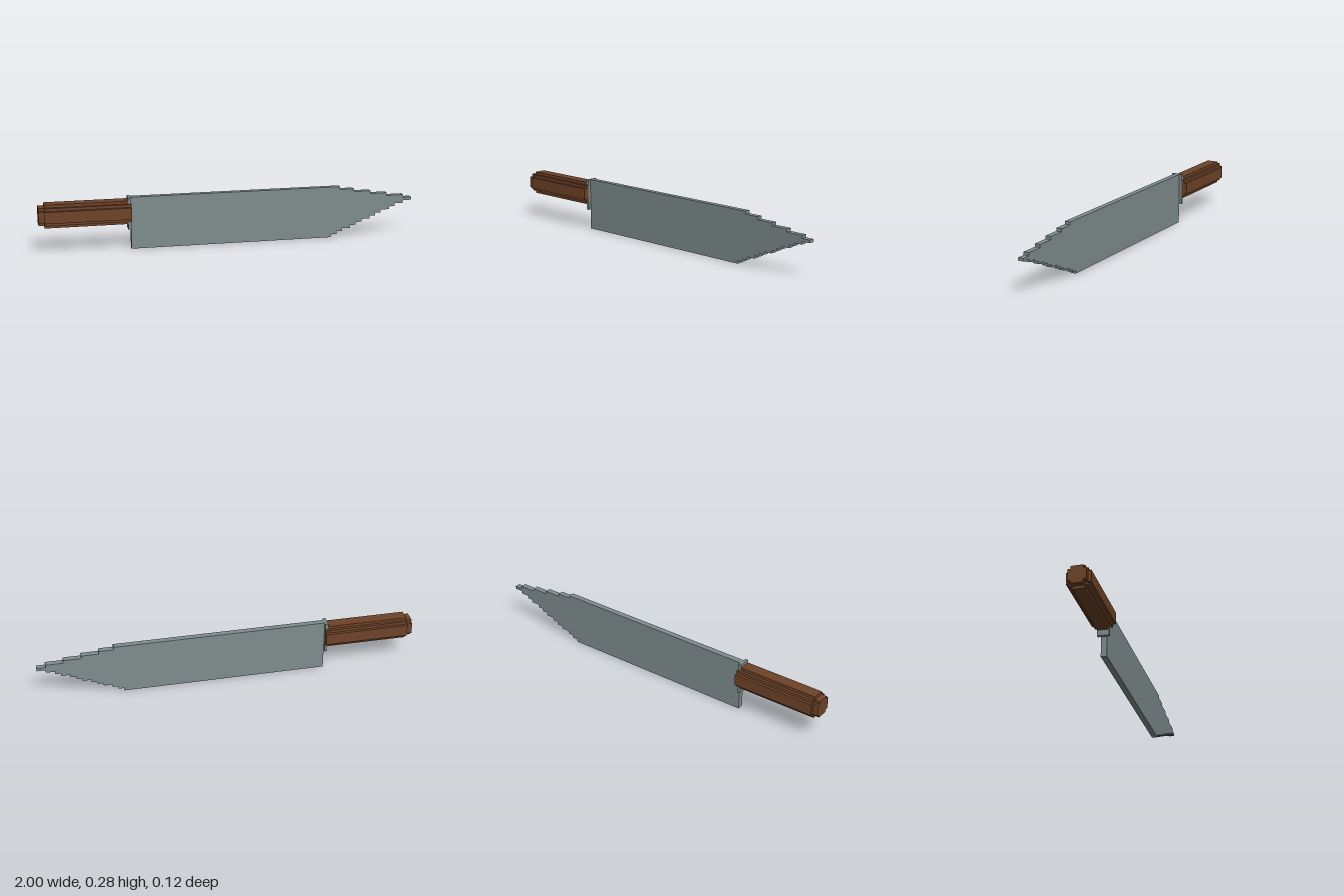
import * as THREE from 'three';

const V = 2 / 130; // one step of the blocky grid

export function createModel() {
  const group = new THREE.Group();
  group.name = 'knife';
  const steel = new THREE.MeshStandardMaterial({ name: 'steel', color: 0x7f8c8d });
  const wood = new THREE.MeshStandardMaterial({ name: 'brownWood', color: 0x6e4328 });

  const add = (name, geo, mat) => {
    const mesh = new THREE.Mesh(geo, mat);
    mesh.name = name;
    group.add(mesh);
    return mesh;
  };
  const extrude = (pts, depth) => new THREE.ExtrudeGeometry(
    new THREE.Shape(pts.map(([a, b]) => new THREE.Vector2(a * V, b * V))),
    { depth: depth * V, bevelEnabled: false });

  // Blade: stepped outline rising along the edge and falling along the spine
  const edgeEnds = [101, 103, 105, 108, 110, 112, 115, 117, 119, 122, 124, 127];
  const spineEnds = [130, 127, 121, 115, 109, 104];
  const outline = [[31, 0]];
  edgeEnds.forEach((x, y) => outline.push([x, y], [x, y + 1]));
  spineEnds.forEach((x, i) => outline.push([x, 12 + i], [x, 13 + i]));
  outline.push([31, 18]);
  add('blade', extrude(outline.map(([x, y]) => [x - 65, y]), 2), steel).position.z = -V;

  // Bolster plate between blade and handle
  add('bolster', new THREE.BoxGeometry(V, 11 * V, 4 * V), steel)
    .position.set((30.5 - 65) * V, 12.5 * V, 0);

  // Stepped round section, centred on the handle axis, extruded along x
  const alongX = (name, pts, x0, x1) => {
    const geo = extrude(pts, x1 - x0).rotateY(Math.PI / 2);
    add(name, geo, wood).position.set((x0 - 65) * V, 13 * V, 0);
  };
  const section = (r) => {
    const q = [[r, r - 2], [r - 1, r - 2], [r - 1, r - 1], [r - 2, r - 1], [r - 2, r]];
    const flip = (sx, sy) => q.map(([a, b]) => [a * sx, b * sy]);
    return [...flip(1, 1), ...flip(-1, 1).reverse(), ...flip(-1, -1), ...flip(1, -1).reverse()];
  };
  alongX('handlePommel', [[3, 2], [2, 2], [2, 3], [-2, 3], [-2, 2], [-3, 2],
    [-3, -2], [-2, -2], [-2, -3], [2, -3], [2, -2], [3, -2]], 0, 2);
  alongX('handleGrip', section(4), 2, 30);

  // Cheeks of the handle that clasp the bolster
  for (const s of [1, -1]) {
    const cheek = [[2, -3], [3, -3], [3, -2], [4, -2], [4, 2], [3, 2], [3, 3], [2, 3]];
    alongX('handleCheek', cheek.map(([z, y]) => [z * s, y]), 30, 31);
  }
  return group;
}
